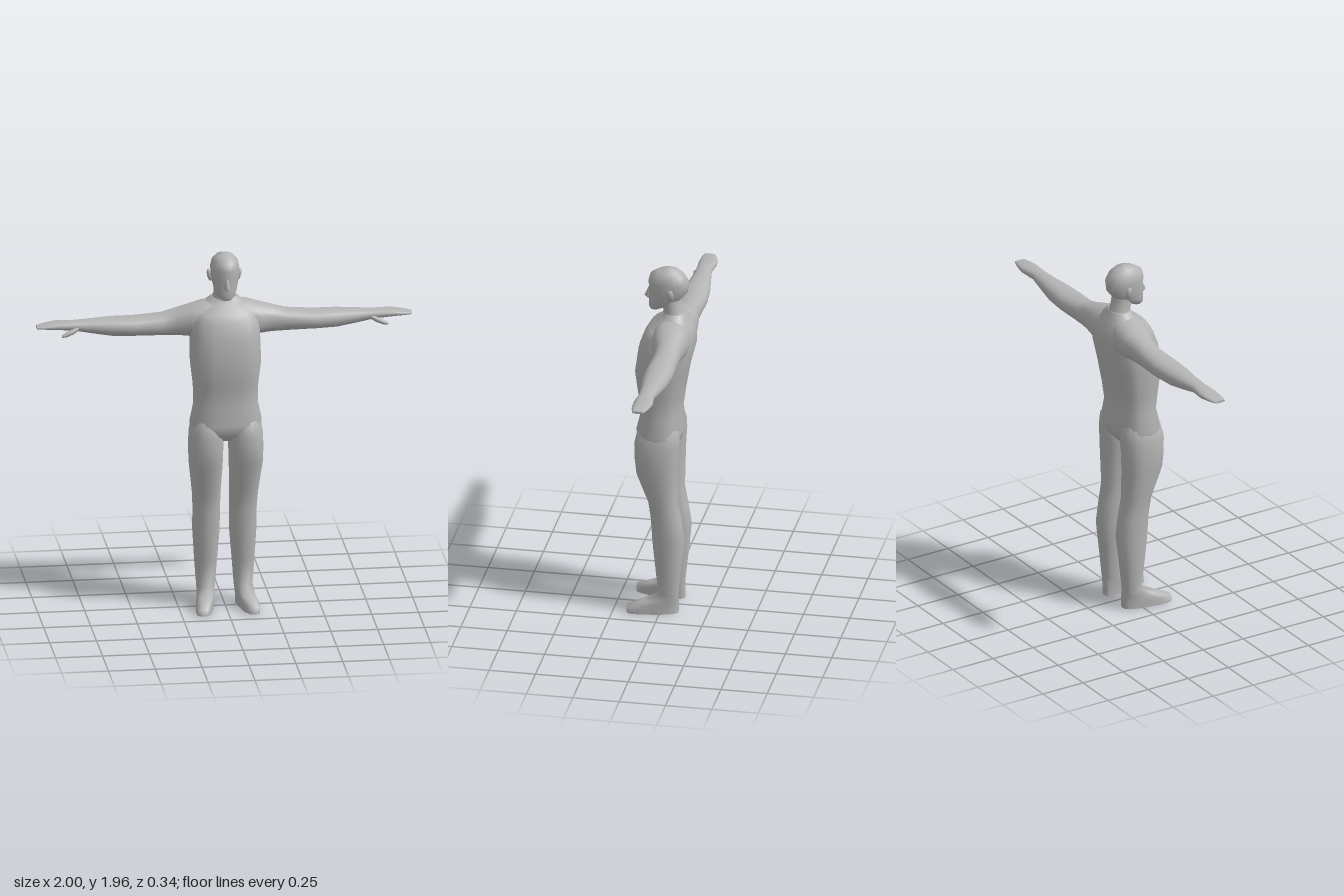
import * as THREE from 'three';

const skin = new THREE.MeshStandardMaterial({ color: 0xb4b4b4 });
skin.name = 'plain grey';
const SEG = 20;

// Superellipse section: n = 2 is an ellipse, larger n is boxier.
function section(n, dir, place) {
  const ring = [];
  for (let i = 0; i < SEG; i++) {
    const a = (dir * i * Math.PI * 2) / SEG;
    const c = Math.cos(a), s = Math.sin(a);
    ring.push(place(
      Math.sign(c) * Math.abs(c) ** (2 / n),
      Math.sign(s) * Math.abs(s) ** (2 / n)));
  }
  return ring;
}

// Skin a row of rings; both ends get flat caps with their own corners.
function loft(name, rings) {
  const pos = [], idx = [];
  rings.forEach(r => r.forEach(p => pos.push(...p)));
  for (let j = 0; j < rings.length - 1; j++) {
    for (let i = 0; i < SEG; i++) {
      const k = (i + 1) % SEG, a = j * SEG, b = a + SEG;
      idx.push(a + i, a + k, b + k, a + i, b + k, b + i);
    }
  }
  [[rings[0], true], [rings[rings.length - 1], false]].forEach(([r, start]) => {
    const base = pos.length / 3;
    r.forEach(p => pos.push(...p));
    pos.push(...[0, 1, 2].map(c => r.reduce((t, p) => t + p[c], 0) / SEG));
    for (let i = 0; i < SEG; i++) {
      const k = (i + 1) % SEG;
      if (start) idx.push(base + SEG, base + k, base + i);
      else idx.push(base + SEG, base + i, base + k);
    }
  });
  const geo = new THREE.BufferGeometry();
  geo.setAttribute('position', new THREE.Float32BufferAttribute(pos, 3));
  geo.setIndex(idx);
  geo.computeVertexNormals();
  const mesh = new THREE.Mesh(geo, skin);
  mesh.name = name;
  return mesh;
}

// Upright form, rows from bottom to top: y, x centre, half width, front z, back z, n, x drift per z
function upright(name, rows, side = 1) {
  return loft(name, rows.map(([y, cx, hw, zf, zb, n = 2.4, drift = 0]) =>
    section(n, 1, (u, v) => {
      const z = (zf + zb) / 2 + u * (zf - zb) / 2;
      return [side * (cx + drift * z) + v * hw, y, z];
    })));
}

// Sideways form, rows from the body outwards: x, top y, bottom y, front z, back z, n
function sideways(name, rows, side) {
  return loft(name, rows.map(([x, yt, yb, zf, zb, n = 2.2]) =>
    section(n, side, (u, v) => [
      side * x, (yt + yb) / 2 + u * (yt - yb) / 2, (zf + zb) / 2 + v * (zf - zb) / 2])));
}

export function createModel() {
  const model = new THREE.Group();
  model.name = 'standing figure';

  model.add(upright('torso', [
    [0.94, 0, 0.12, 0.07, -0.06],
    [0.98, 0, 0.18, 0.125, -0.095],
    [1.04, 0, 0.193, 0.143, -0.112],
    [1.14, 0, 0.172, 0.118, -0.095, 2.5],
    [1.25, 0, 0.175, 0.132, -0.11, 2.6],
    [1.38, 0, 0.19, 0.148, -0.132, 2.7],
    [1.52, 0, 0.188, 0.13, -0.168, 2.6],
    [1.60, 0, 0.185, 0.1, -0.166, 2.5],
    [1.64, 0, 0.165, 0.075, -0.152, 2.4],
    [1.68, 0, 0.115, 0.01, -0.13, 2.2],
    [1.715, 0, 0.07, -0.005, -0.112, 2],
  ]));

  model.add(upright('neck', [
    [1.62, 0, 0.1, 0.03, -0.15, 2],
    [1.69, 0, 0.072, 0.0, -0.125, 2],
    [1.73, 0, 0.058, 0.005, -0.102, 2],
    [1.80, 0, 0.056, 0.02, -0.09, 2],
  ]));

  // Head, from chin to crown
  model.add(upright('head', [
    [1.725, 0, 0.026, 0.074, 0.025, 2.2],
    [1.742, 0, 0.045, 0.083, -0.01, 2.2],
    [1.775, 0, 0.061, 0.083, -0.08, 2.1],
    [1.83, 0, 0.074, 0.082, -0.126, 2.1],
    [1.885, 0, 0.077, 0.085, -0.133, 2.1],
    [1.925, 0, 0.07, 0.075, -0.11, 2.1],
    [1.95, 0, 0.048, 0.035, -0.08, 2],
    [1.963, 0, 0.012, -0.015, -0.04, 2],
  ]));
  model.add(upright('nose', [
    [1.782, 0, 0.011, 0.09, 0.06, 2],
    [1.796, 0, 0.017, 0.107, 0.06, 2],
    [1.845, 0, 0.008, 0.085, 0.06, 2],
  ]));

  for (const side of [1, -1]) {
    const ear = new THREE.Mesh(new THREE.SphereGeometry(1, 8, 6), skin);
    ear.name = 'ear';
    ear.scale.set(0.014, 0.035, 0.02);
    ear.position.set(side * 0.078, 1.835, -0.045);
    ear.rotation.z = -side * 0.2;
    model.add(ear);

    // Leg and foot in one form, from the sole up
    model.add(upright('leg', [
      [0.0, 0.107, 0.046, 0.177, -0.095, 2.8, 0.17],
      [0.035, 0.107, 0.047, 0.176, -0.096, 2.7, 0.17],
      [0.07, 0.105, 0.047, 0.095, -0.096, 2.4, 0.12],
      [0.105, 0.1, 0.05, 0.012, -0.095, 2.1],
      [0.25, 0.1, 0.061, 0.028, -0.11, 2.1],
      [0.42, 0.098, 0.073, 0.045, -0.128, 2.2],
      [0.54, 0.098, 0.073, 0.052, -0.11, 2.2],
      [0.64, 0.1, 0.077, 0.065, -0.09, 2.2],
      [0.81, 0.107, 0.09, 0.128, -0.093, 2.3],
      [0.9, 0.107, 0.093, 0.138, -0.096, 2.3],
      [0.98, 0.104, 0.093, 0.141, -0.102, 2.3],
      [1.05, 0.099, 0.085, 0.125, -0.1, 2.2],
      [1.12, 0.09, 0.06, 0.08, -0.07, 2],
    ], side));

    // Shoulder, arm and mitten hand
    model.add(sideways('arm', [
      [0.05, 1.7, 1.46, 0.04, -0.15],
      [0.12, 1.69, 1.48, 0.05, -0.158],
      [0.19, 1.667, 1.5, 0.03, -0.15],
      [0.25, 1.65, 1.503, 0.005, -0.138],
      [0.33, 1.626, 1.506, 0.002, -0.135],
      [0.48, 1.614, 1.511, 0.013, -0.14],
      [0.6, 1.615, 1.515, 0.005, -0.131],
      [0.7, 1.61, 1.532, -0.008, -0.115],
      [0.8, 1.605, 1.553, -0.015, -0.1],
      [0.89, 1.603, 1.562, -0.012, -0.112, 2.5],
      [0.95, 1.594, 1.568, -0.014, -0.1, 2.6],
      [1.0, 1.586, 1.573, -0.02, -0.082, 2.8],
    ], side));
    model.add(sideways('thumb', [
      [0.77, 1.588, 1.562, -0.018, -0.05],
      [0.81, 1.572, 1.542, 0.002, -0.035],
      [0.845, 1.557, 1.531, 0.008, -0.022],
      [0.87, 1.543, 1.53, 0.008, -0.012],
    ], side));
  }
  return model;
}
